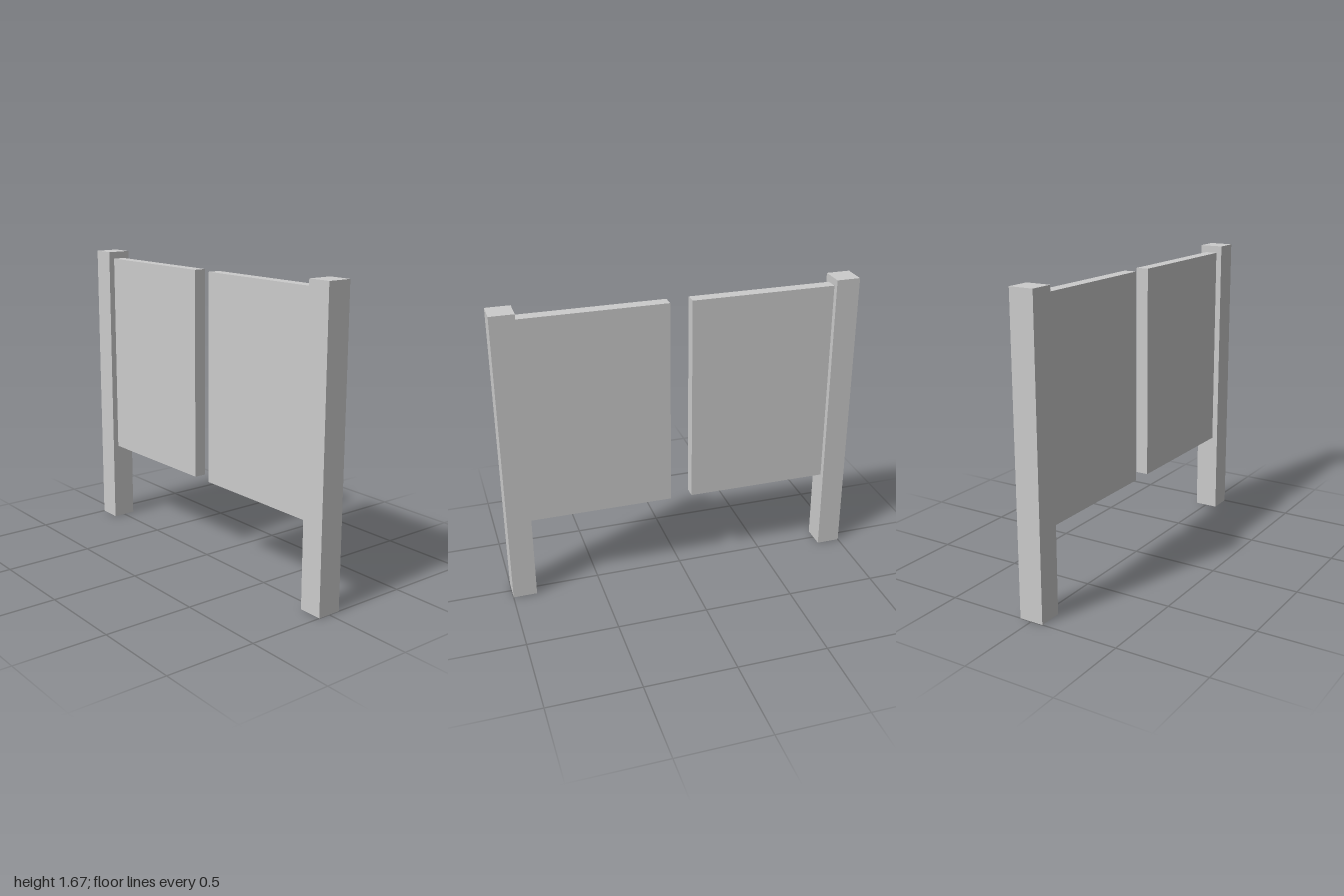
import * as THREE from 'three';

const material = new THREE.MeshStandardMaterial({ color: 0xcccccc, flatShading: true });

// Box given by its extents in x and y, centred on z = 0
function slab(name, x0, x1, y0, y1, depth) {
  const mesh = new THREE.Mesh(new THREE.BoxGeometry(x1 - x0, y1 - y0, depth), material);
  mesh.position.set((x0 + x1) / 2, (y0 + y1) / 2, 0);
  mesh.name = name;
  return mesh;
}

export function createModel() {
  const group = new THREE.Group();
  group.name = 'doubleGate';

  const post = { inner: 0.867, outer: 1, height: 1.675, depth: 0.136 };
  const panel = { inner: 0.061, bottom: 0.463, top: 1.635, depth: 0.07 };

  for (const [side, s] of [['left', 1], ['right', -1]]) {
    // Upright post at the outer end
    const [p0, p1] = [s * post.inner, s * post.outer].sort((a, b) => a - b);
    group.add(slab(side + 'Post', p0, p1, 0, post.height, post.depth));

    // Raised gate panel hung from the post, leaving a gap in the middle
    const [g0, g1] = [s * panel.inner, s * post.inner].sort((a, b) => a - b);
    group.add(slab(side + 'Panel', g0, g1, panel.bottom, panel.top, panel.depth));
  }
  return group;
}
